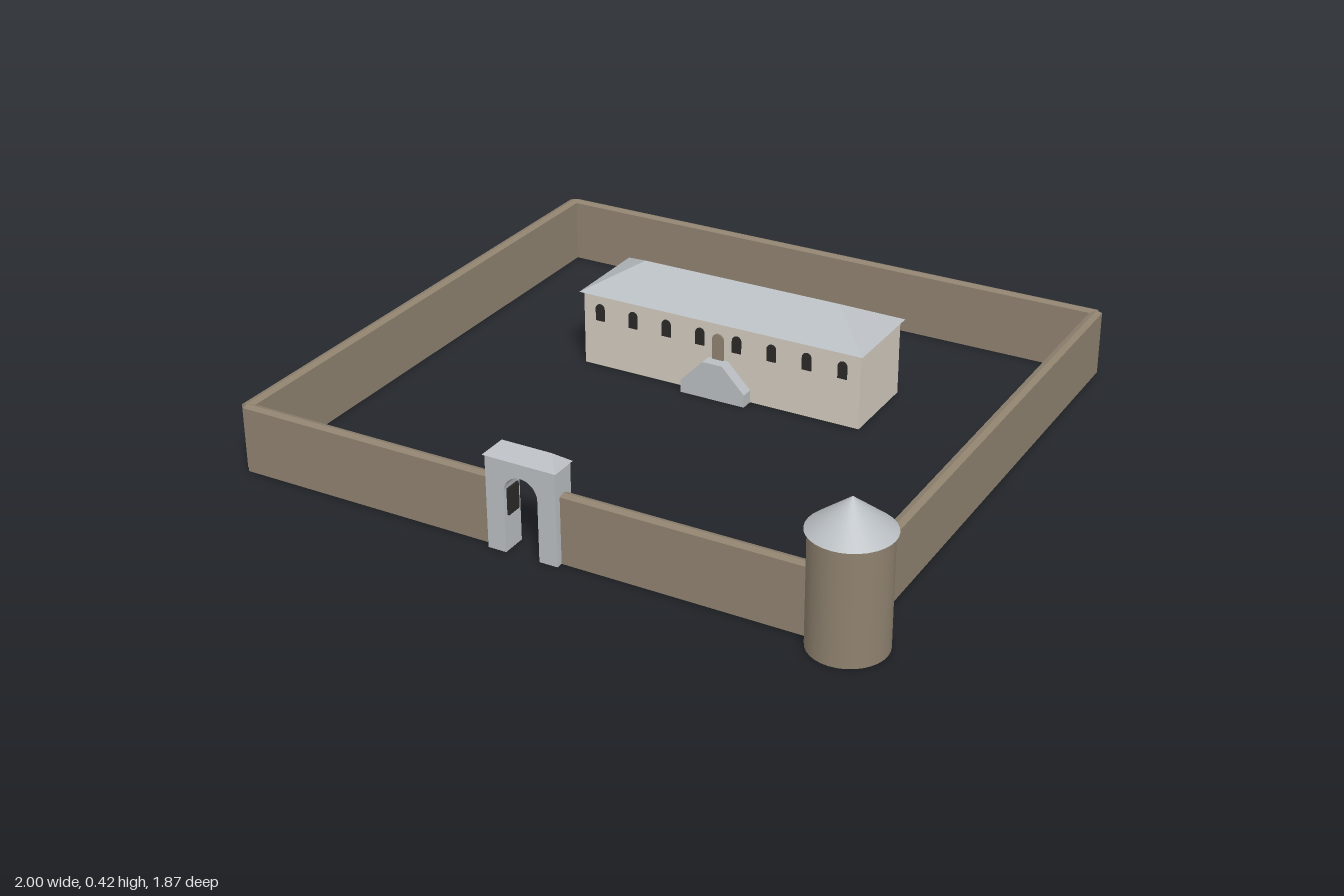
import * as THREE from 'three';

const mat = (name, color, side = THREE.FrontSide) => {
  const m = new THREE.MeshStandardMaterial({ color, side });
  m.name = name;
  return m;
};

export function createModel() {
  const root = new THREE.Group();
  root.name = 'walledManor';
  const brown = mat('brown masonry', 0x8f826f, THREE.DoubleSide);
  const stone = mat('pale stone', 0xd2cbbf, THREE.DoubleSide);
  const grey = mat('grey slate', 0xb9bec2);
  const dark = mat('dark opening', 0x2b2927, THREE.DoubleSide);
  const CX = -0.05; // shared axis of gate, stair and door

  const add = (name, geo, material, x = 0, y = 0, z = 0, parent = root) => {
    const mesh = new THREE.Mesh(geo, material);
    mesh.name = name;
    mesh.position.set(x, y, z);
    parent.add(mesh);
    return mesh;
  };
  const poly = (pts) => new THREE.Shape(pts.map(([x, y]) => new THREE.Vector2(x, y)));
  const extrude = (shape, depth) =>
    new THREE.ExtrudeGeometry(shape, { depth, bevelEnabled: false, curveSegments: 16 });

  // Round-headed outline standing on y = 0
  const arch = (w, h, P = THREE.Shape) => {
    const r = w / 2, s = new P();
    s.moveTo(-r, 0);
    s.lineTo(r, 0);
    s.lineTo(r, h - r);
    s.absarc(0, h - r, r, 0, Math.PI, false);
    s.lineTo(-r, 0);
    return s;
  };

  // Hipped roof over a rectangle: half sizes, half ridge length and rise
  const hipRoof = (hx, hz, ridge, rise) => {
    const g = new THREE.BufferGeometry();
    g.setAttribute('position', new THREE.Float32BufferAttribute([
      -hx, 0, hz, hx, 0, hz, hx, 0, -hz, -hx, 0, -hz, -ridge, rise, 0, ridge, rise, 0], 3));
    g.setIndex([0, 1, 5, 0, 5, 4, 1, 2, 5, 2, 3, 4, 2, 4, 5, 3, 0, 4, 0, 3, 2, 0, 2, 1]);
    const flat = g.toNonIndexed();
    flat.computeVertexNormals();
    return flat;
  };

  // Perimeter walls with a low ridged coping, running between two plan points
  const wall = (name, x0, z0, x1, z1) => {
    const t = 0.0175;
    const section = poly([[-t, 0], [t, 0], [t, 0.2], [0, 0.206], [-t, 0.2]]);
    const m = add(name, extrude(section, Math.hypot(x1 - x0, z1 - z0)), brown, x0, 0, z0);
    m.rotation.y = Math.atan2(x1 - x0, z1 - z0);
  };
  wall('leftPerimeterWall', 0.88, -0.922, 0.88, 0.818);
  wall('rightPerimeterWall', -0.982, -0.922, -0.982, 0.818);
  wall('backPerimeterWall', -0.982, -0.922, 0.88, -0.922);
  wall('frontWallRight', -0.982, 0.818, -0.15, 0.818);
  wall('frontWallLeft', 0.05, 0.818, 0.88, 0.818);

  // Corner tower
  const tower = new THREE.Group();
  tower.name = 'cornerTower';
  tower.position.set(0.88, 0, 0.818);
  root.add(tower);
  add('towerBody', new THREE.CylinderGeometry(0.109, 0.109, 0.33, 32, 1, true), brown, 0, 0.165, 0, tower);
  add('towerRoof', new THREE.ConeGeometry(0.117, 0.092, 32), grey, 0, 0.376, 0, tower);

  // Gatehouse with through arch
  const gate = new THREE.Group();
  gate.name = 'gatehouse';
  gate.position.set(CX, 0, 0.818);
  root.add(gate);
  const gw = 0.108, ow = 0.052, spring = 0.183;
  const front = new THREE.Shape();
  front.moveTo(-gw, 0);
  front.lineTo(-ow, 0);
  front.lineTo(-ow, spring);
  front.absarc(0, spring, ow, Math.PI, 0, true);
  front.lineTo(ow, 0);
  front.lineTo(gw, 0);
  front.lineTo(gw, 0.28);
  front.lineTo(-gw, 0.28);
  add('gateBody', extrude(front, 0.076), grey, 0, 0, -0.038, gate);
  add('gateRoof', hipRoof(0.113, 0.043, 0.077, 0.034), grey, 0, 0.28, 0, gate);
  for (const s of [-1, 1])
    add('gateSidePanel', new THREE.BoxGeometry(0.006, 0.08, 0.05), dark, s * (ow - 0.003), 0.147, 0, gate);

  // Manor house: open-bottomed walls under a hipped roof
  const house = new THREE.Group();
  house.name = 'house';
  house.position.set(CX, 0, -0.363);
  root.add(house);
  const hx = 0.467, hz = 0.137;
  for (const s of [-1, 1]) {
    const long = add('houseLongWall', new THREE.PlaneGeometry(hx * 2, 0.24), stone, 0, 0.12, s * hz, house);
    const end = add('houseEndWall', new THREE.PlaneGeometry(hz * 2, 0.24), stone, s * hx, 0.12, 0, house);
    long.rotation.y = s > 0 ? 0 : Math.PI;
    end.rotation.y = s * Math.PI / 2;
  }
  add('houseRoof', hipRoof(0.477, 0.15, 0.329, 0.078), grey, 0, 0.24, 0, house);

  // Windows either side of the door
  const windowGeo = extrude(arch(0.03, 0.055), 0.004);
  for (const s of [-1, 1])
    for (let i = 0; i < 4; i++)
      add('window', windowGeo, dark, s * (0.062 + i * 0.116), 0.153, hz, house);
  add('door', extrude(arch(0.038, 0.09), 0.005), brown, 0, 0.112, hz, house);

  // Double stair rising to the door landing
  const stair = poly([[-0.108, 0], [0.108, 0], [0.108, 0.04], [0.033, 0.118], [-0.033, 0.118], [-0.108, 0.04]]);
  add('entranceStair', extrude(stair, 0.04), grey, 0, 0, hz, house);

  return root;
}
